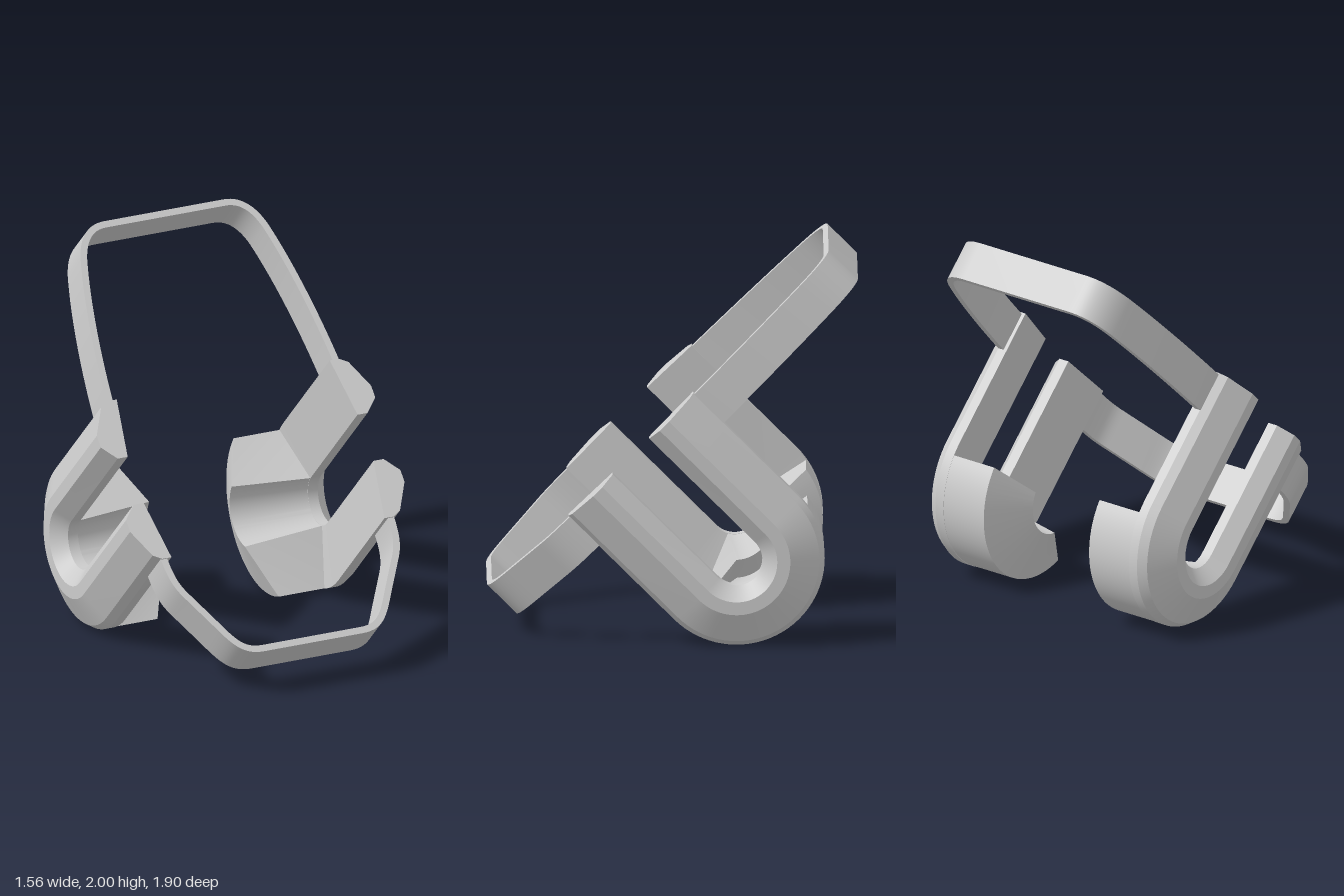
import * as THREE from 'three';
import { toCreasedNormals } from 'three/addons/utils/BufferGeometryUtils.js';

const material = new THREE.MeshStandardMaterial({ color: 0xcccccc });
const rad = THREE.MathUtils.degToRad;

function part(name, geometry) {
  const mesh = new THREE.Mesh(toCreasedNormals(geometry, rad(20)), material);
  mesh.name = name;
  return mesh;
}

// Skin a list of closed rings and cap both ends; side = -1 mirrors across x
function loft(rings, side) {
  const n = rings[0].length, last = (rings.length - 1) * n, index = [];
  const tri = (a, b, c) => (side > 0 ? index.push(a, b, c) : index.push(a, c, b));
  for (let i = 0; i < rings.length - 1; i++) {
    for (let j = 0; j < n; j++) {
      const a = i * n + j, b = i * n + (j + 1) % n;
      tri(a, b, a + n);
      tri(b, b + n, a + n);
    }
  }
  for (let k = 1; k < n - 1; k++) {
    tri(0, k + 1, k);
    tri(last, last + k, last + k + 1);
  }
  const g = new THREE.BufferGeometry();
  const pos = rings.flat().flatMap(([x, y, z]) => [x * side, y, z]);
  g.setAttribute('position', new THREE.Float32BufferAttribute(pos, 3));
  g.setIndex(index);
  return g;
}

// Point at radius r around the bend axis, pushed along the arms by off
const around = (x, r, phi, off = 0) => [x, r * Math.cos(phi), off - r * Math.sin(phi)];

// U-shaped bracket: a chamfered section [x, radius] swept down one arm, round and back
function bracket(side) {
  const section = [[0.607, 0.452], [0.66, 0.452], [0.705, 0.425], [0.782, 0.275],
    [0.782, 0.208], [0.712, 0.132], [0.655, 0.132]];
  const ring = (phi, off) => section.map(([x, r]) => around(x, r, phi, off));
  const rings = [ring(0, 0.765)];
  for (let i = 0; i <= 40; i++) rings.push(ring(Math.PI * i / 40, 0));
  rings.push(ring(Math.PI, 0.765));
  return loft(rings, side);
}

// Inner lug: tapered sector with a flared groove; [x, radius, start angle, end angle]
function lug(side) {
  const corners = [[0.63, 0.45, 9, 156], [0.66, 0.133, 6, 150],
    [0.235, 0.185, 16, 133], [0.345, 0.45, 9, 156]];
  const rings = [];
  for (let i = 0; i <= 36; i++) {
    rings.push(corners.map(([x, r, a, b]) => around(x, r, rad(a + (b - a) * i / 36))));
  }
  return loft(rings, side);
}

// Thin hoop: half outline mirrored in x, offset inwards and extruded to a band
function hoop(half, thickness = 0.036) {
  const right = half.getPoints(14);
  const outer = [...right, ...right.slice().reverse().map(p => new THREE.Vector2(-p.x, p.y))];
  const turn = Math.sign(right[right.length - 1].y);
  const inner = outer.map((p, i) => {
    const t = outer[Math.min(i + 1, outer.length - 1)].clone()
      .sub(outer[Math.max(i - 1, 0)]).normalize();
    return new THREE.Vector2(p.x - t.y * thickness * turn, p.y + t.x * thickness * turn);
  });
  const shape = new THREE.Shape([...outer, ...inner.reverse()]);
  const g = new THREE.ExtrudeGeometry(shape, { depth: 0.212, bevelEnabled: false });
  return g.translate(0, 0, 0.545);
}

export function createModel() {
  const model = new THREE.Group();
  model.name = 'clipFrame';

  // Everything is built upright, then tipped 45 degrees about the bend axis
  const tilted = new THREE.Group();
  tilted.name = 'tiltedFrame';
  tilted.position.set(0, 0.455, -0.325);
  tilted.rotation.x = -Math.PI / 4;
  model.add(tilted);

  for (const [label, side] of [['left', 1], ['right', -1]]) {
    tilted.add(part(label + 'Bracket', bracket(side)));
    tilted.add(part(label + 'Lug', lug(side)));
  }

  // Tall upper hoop with rounded shoulders
  const upper = new THREE.Path();
  upper.moveTo(0.665, 0.42);
  upper.bezierCurveTo(0.64, 0.75, 0.59, 1.05, 0.535, 1.25);
  upper.quadraticCurveTo(0.48, 1.428, 0.34, 1.428);
  tilted.add(part('upperHoop', hoop(upper)));

  // Shorter lower hoop with slanted corners
  const lower = new THREE.Path();
  lower.moveTo(0.665, -0.42);
  lower.bezierCurveTo(0.665, -0.58, 0.64, -0.63, 0.605, -0.69);
  lower.lineTo(0.505, -0.863);
  lower.bezierCurveTo(0.44, -0.98, 0.4, -1.047, 0.28, -1.047);
  tilted.add(part('lowerHoop', hoop(lower)));

  return model;
}
